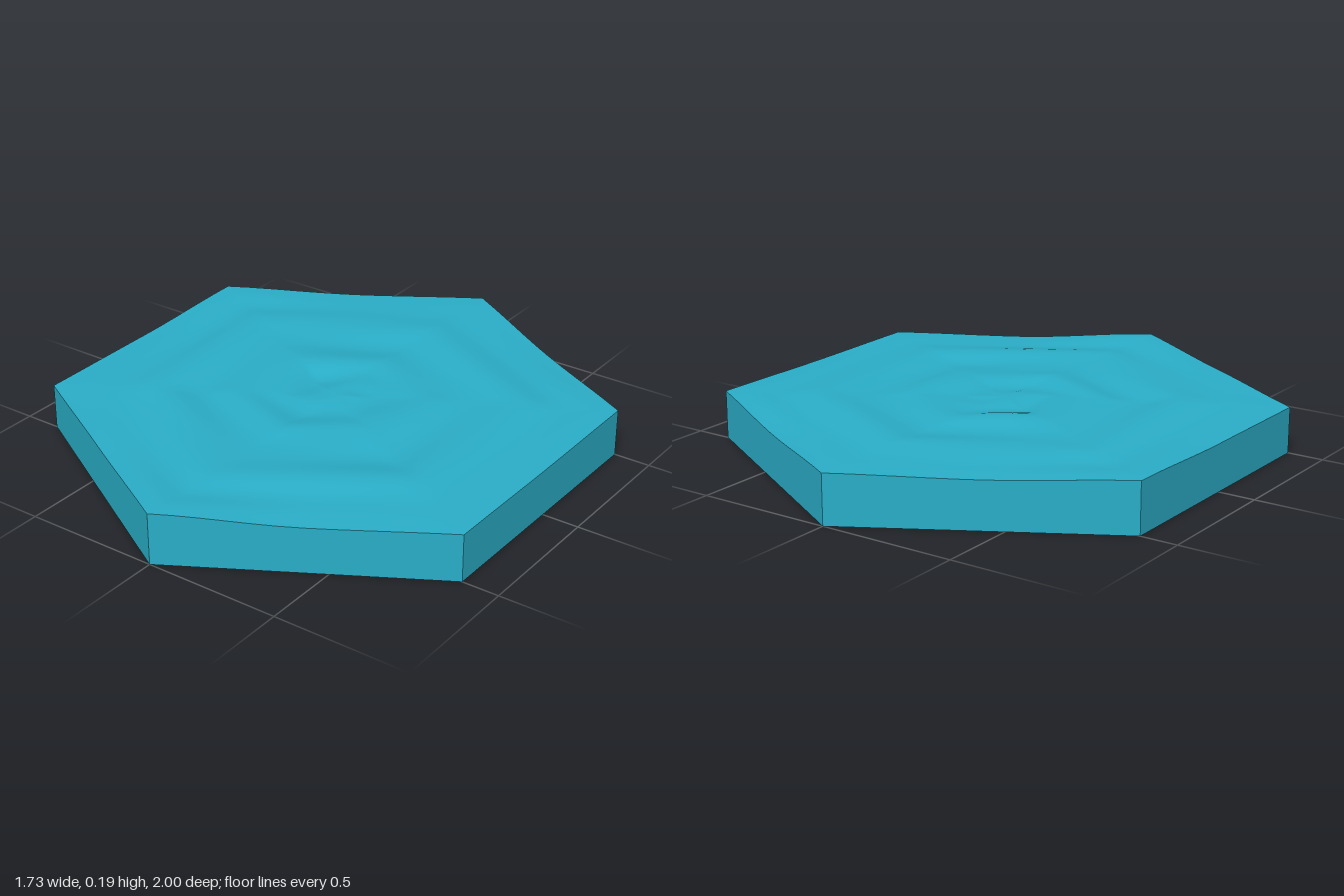
import * as THREE from 'three';

const RINGS = 40, PER_SIDE = 12, AROUND = 6 * PER_SIDE;

// Rim height at each corner and each side's middle, starting at +z and turning towards +x
const RIM = [0.19, 0.168, 0.175, 0.172, 0.175, 0.163, 0.178, 0.17, 0.183, 0.17, 0.168, 0.178];

// Point on the unit hexagon, j steps around
function hexPoint(j) {
  const side = Math.floor(j / PER_SIDE), t = (j % PER_SIDE) / PER_SIDE;
  const corner = (k) => new THREE.Vector2(Math.sin(k * Math.PI / 3), Math.cos(k * Math.PI / 3));
  return corner(side).lerp(corner(side + 1), t);
}

function rimHeight(j) {
  const u = (j / AROUND) * RIM.length, i = Math.floor(u);
  return THREE.MathUtils.lerp(RIM[i % 12], RIM[(i + 1) % 12], THREE.MathUtils.smoothstep(u - i, 0, 1));
}

// Concentric ripples, stronger in some directions, settling into the rim
function waterHeight(r, j) {
  const a = (j / AROUND) * Math.PI * 2;
  const wobble = 0.03 * Math.sin(2 * a + 5 * r) + 0.02 * Math.sin(3 * a - 1);
  const strength = 0.006 + 0.003 * Math.sin(3 * a + 9 * r);
  const ripple = strength * Math.cos((r - 0.65 + wobble * (1 - r)) * Math.PI * 2 / 0.35);
  const swirl = 0.005 * Math.sin(2 * a + 22 * r) * Math.exp(-(((r - 0.2) / 0.13) ** 2));
  const inner = 0.181 + (ripple + swirl) * THREE.MathUtils.smoothstep(r, 0, 0.15);
  return THREE.MathUtils.lerp(inner, rimHeight(j), THREE.MathUtils.smoothstep(r, 0.72, 1));
}

function buildGeometry(positions, index) {
  const g = new THREE.BufferGeometry();
  g.setAttribute('position', new THREE.Float32BufferAttribute(positions, 3));
  g.setIndex(index);
  g.computeVertexNormals();
  return g;
}

// Rippled top: a centre point and hexagonal rings
function waterSurface() {
  const pos = [0, waterHeight(0, 0), 0], index = [];
  const id = (i, j) => (i === 0 ? 0 : 1 + (i - 1) * AROUND + (j % AROUND));
  for (let i = 1; i <= RINGS; i++) {
    for (let j = 0; j < AROUND; j++) {
      const p = hexPoint(j), r = i / RINGS;
      pos.push(p.x * r, waterHeight(r, j), p.y * r);
    }
  }
  for (let i = 0; i < RINGS; i++) {
    for (let j = 0; j < AROUND; j++) {
      index.push(id(i, j), id(i + 1, j), id(i + 1, j + 1));
      if (i > 0) index.push(id(i, j), id(i + 1, j + 1), id(i, j + 1));
    }
  }
  return buildGeometry(pos, index);
}

// One flat side wall following the wavy rim
function sideWall(side) {
  const pos = [], index = [];
  for (let k = 0; k <= PER_SIDE; k++) {
    const j = (side * PER_SIDE + k) % AROUND, p = hexPoint(j);
    pos.push(p.x, 0, p.y, p.x, rimHeight(j), p.y);
    const b = 2 * k;
    if (k < PER_SIDE) index.push(b, b + 2, b + 3, b, b + 3, b + 1);
  }
  return buildGeometry(pos, index);
}

export function createModel() {
  const tile = new THREE.Group();
  tile.name = 'waterTile';
  const water = new THREE.MeshStandardMaterial({ color: 0x2aaec8 });
  const add = (geometry, name) => {
    const mesh = new THREE.Mesh(geometry, water);
    mesh.name = name;
    tile.add(mesh);
  };

  add(waterSurface(), 'waterSurface');
  for (let s = 0; s < 6; s++) add(sideWall(s), `sideWall${s + 1}`);
  add(new THREE.CircleGeometry(1, 6, Math.PI / 2).rotateX(Math.PI / 2), 'base');
  return tile;
}
